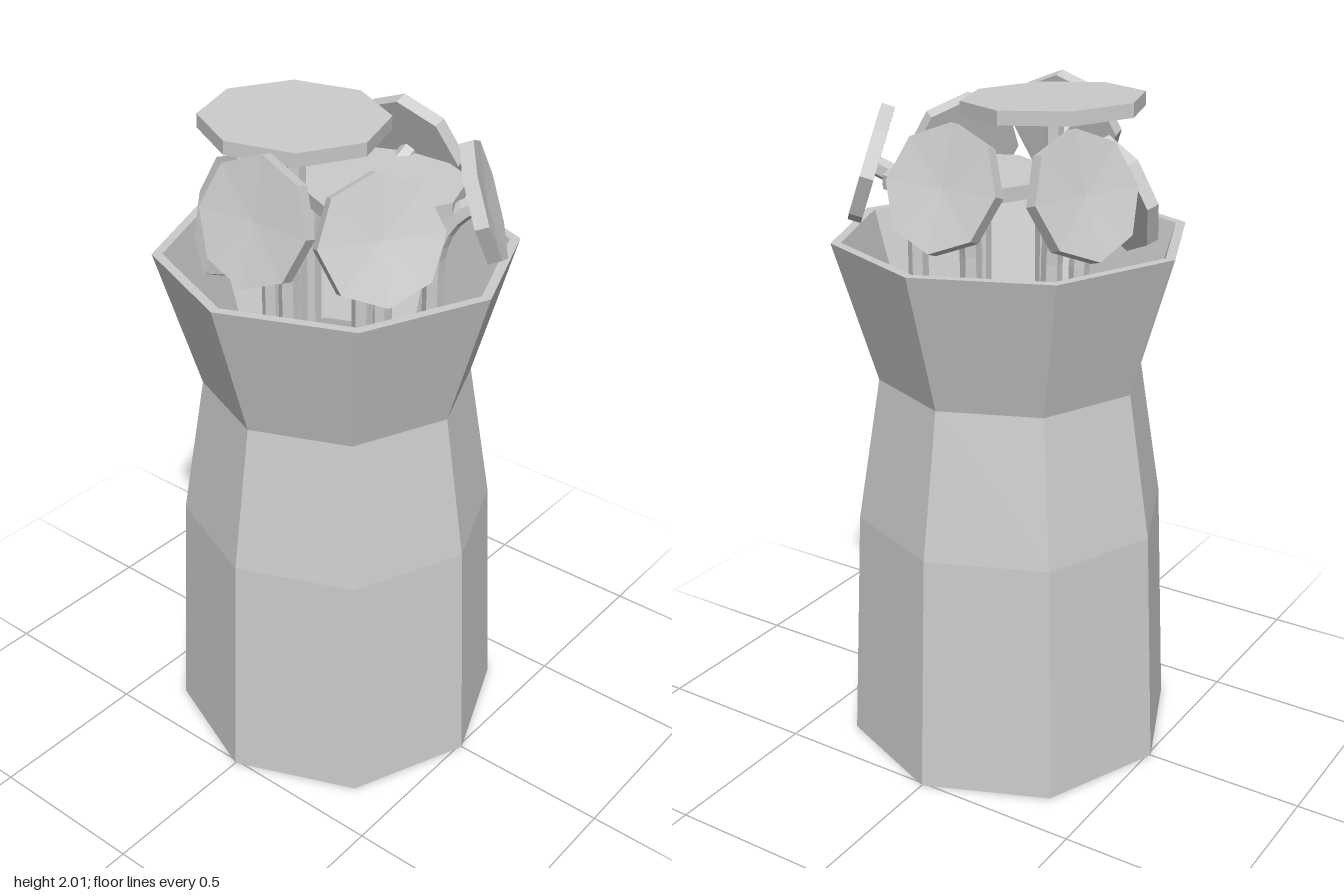
import * as THREE from 'three';

const material = new THREE.MeshStandardMaterial({ color: 0xcccccc, flatShading: true });

function lathe(points, sides, name) {
  const profile = points.map(([r, y]) => new THREE.Vector2(r, y));
  const mesh = new THREE.Mesh(new THREE.LatheGeometry(profile, sides), material);
  mesh.name = name;
  return mesh;
}

// Each flower: centre, radius, heading of the face and its lean from upright (degrees)
const flowers = [
  { name: 'frontFlower', at: [0.06, 1.83, 0.405], r: 0.178, heading: 2, lean: 74 },
  { name: 'frontLeftFlower', at: [0.30, 1.775, 0.195], r: 0.178, heading: 58, lean: 72 },
  { name: 'backLeftFlower', at: [0.38, 1.785, -0.16], r: 0.178, heading: 123, lean: 72 },
  { name: 'backFlower', at: [0.005, 1.795, -0.335], r: 0.178, heading: 180, lean: 70 },
  { name: 'backRightFlower', at: [-0.34, 1.79, -0.185], r: 0.178, heading: 250, lean: 72 },
  { name: 'frontRightFlower', at: [-0.23, 1.70, 0.21], r: 0.178, heading: 332, lean: 72 },
  { name: 'topFlower', at: [-0.09, 1.97, 0.075], r: 0.265, heading: 86, lean: 2 },
  { name: 'middleFlower', at: [0.08, 1.77, -0.10], r: 0.245, heading: 88, lean: 0 },
];

function makeFlower({ name, at, r, heading, lean }) {
  const group = new THREE.Group();
  group.name = name;
  const centre = new THREE.Vector3(...at);
  const az = THREE.MathUtils.degToRad(heading);
  const tilt = THREE.MathUtils.degToRad(lean);

  // Eight-sided head, slightly dished on the face of the side flowers
  const dish = lean > 10 ? 0.008 : 0.02;
  const head = lathe([[0, -0.02], [r, -0.02], [r, 0.02], [0, dish]], 8, 'flowerHead');
  head.position.copy(centre);
  head.rotation.set(tilt, az, 0, 'YXZ');
  group.add(head);

  // Stem: straight up from the foot, then bending into the back of the head
  const normal = new THREE.Vector3(0, 1, 0).applyEuler(head.rotation);
  const inset = lean > 10 ? 0.13 : 0;
  const x = centre.x - Math.sin(az) * inset;
  const z = centre.z - Math.cos(az) * inset;
  const path = new THREE.CurvePath();
  const bendStart = new THREE.Vector3(x, centre.y - 0.22, z);
  const end = centre.clone().addScaledVector(normal, -0.015);
  path.add(new THREE.LineCurve3(new THREE.Vector3(x, 0.14, z), bendStart));
  path.add(new THREE.QuadraticBezierCurve3(
    bendStart, new THREE.Vector3(x, centre.y - 0.05, z), end));
  const stem = new THREE.Mesh(new THREE.TubeGeometry(path, 40, 0.03, 6), material);
  stem.name = 'stem';
  group.add(stem);

  // Cap on the foot of the stem
  const cap = new THREE.Mesh(new THREE.CylinderGeometry(0.029, 0.029, 0.01, 6), material);
  cap.name = 'stemFoot';
  cap.position.set(x, 0.145, z);
  group.add(cap);
  return group;
}

export function createModel() {
  const model = new THREE.Group();
  model.name = 'vaseWithFlowers';

  // Octagonal vase wall, open at both ends
  model.add(lathe([
    [0.48, 0], [0.51, 0], [0.473, 0.74], [0.40, 1.18], [0.525, 1.6],
    [0.495, 1.6], [0.37, 1.18], [0.443, 0.74], [0.48, 0],
  ], 8, 'vase'));

  for (const flower of flowers) model.add(makeFlower(flower));
  return model;
}
